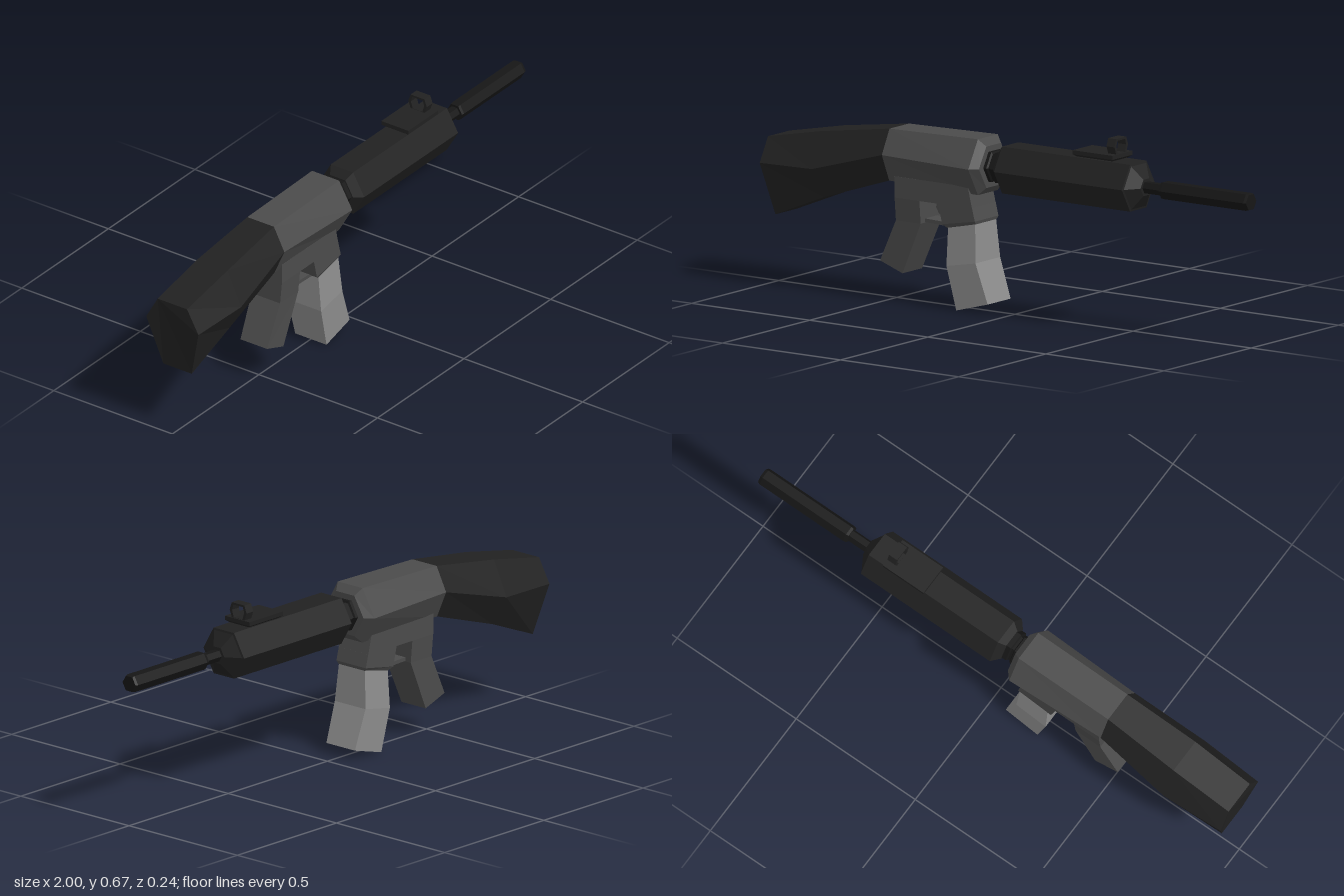
import * as THREE from 'three';

const COLORS = { metal: 0x4b4b4b, dark: 0x212121, black: 0x161616, light: 0x8c8c8c };
const materials = Object.fromEntries(Object.entries(COLORS).map(([name, color]) =>
  [name, new THREE.MeshStandardMaterial({ color, flatShading: true })]));

// Skin a list of rings (each a loop of [x, y, z]) and close both ends.
function loft(rings) {
  const n = rings[0].length;
  const index = [];
  for (let i = 0; i < rings.length - 1; i++) {
    for (let j = 0; j < n; j++) {
      const a = i * n + j, b = i * n + (j + 1) % n;
      index.push(a, b, b + n, a, b + n, a + n);
    }
  }
  const last = (rings.length - 1) * n;
  for (let j = 1; j < n - 1; j++) {
    index.push(0, j + 1, j);
    index.push(last, last + j, last + j + 1);
  }
  const indexed = new THREE.BufferGeometry();
  indexed.setAttribute('position', new THREE.Float32BufferAttribute(rings.flat(2), 3));
  indexed.setIndex(index);
  const geometry = indexed.toNonIndexed();
  geometry.computeVertexNormals();
  return geometry;
}

// Six-sided ring across x: flat top and bottom, widest at the middle.
// The x of top, middle and bottom may differ so an end can slant.
function hexRing([xTop, yTop, wTop], [xMid, yMid, wMid], [xLow, yLow, wLow]) {
  return [
    [xTop, yTop, -wTop], [xTop, yTop, wTop], [xMid, yMid, wMid],
    [xLow, yLow, wLow], [xLow, yLow, -wLow], [xMid, yMid, -wMid],
  ];
}

const AXIS = 0.51; // height of the bore

// Regular hexagonal body along x from [x, radius] pairs.
function hexBody(profile) {
  return loft(profile.map(([x, r]) => hexRing(
    [x, AXIS + r * 0.866, r / 2], [x, AXIS, r], [x, AXIS - r * 0.866, r / 2])));
}

// Four-sided body, listed bottom to top: [rear x, rear y, front x, front y, half width].
function block(sections) {
  return loft(sections.map(([xr, yr, xf, yf, w]) =>
    [[xr, yr, w], [xf, yf, w], [xf, yf, -w], [xr, yr, -w]]));
}

export function createModel() {
  const model = new THREE.Group();
  model.name = 'rifle';
  const add = (name, geometry, material) => {
    const mesh = new THREE.Mesh(geometry, materials[material]);
    mesh.name = name;
    model.add(mesh);
    return mesh;
  };

  // Shoulder stock, drooping toward a slanted butt
  add('stock', loft([
    hexRing([-1, 0.515, 0.062], [-1, 0.43, 0.11], [-0.97, 0.247, 0.06]),
    hexRing([-0.77, 0.56, 0.064], [-0.77, 0.437, 0.122], [-0.76, 0.332, 0.066]),
    hexRing([-0.49, 0.6, 0.056], [-0.49, 0.515, 0.1], [-0.49, 0.42, 0.058]),
  ]), 'dark');

  // Upper receiver with a chamfered front
  add('upperReceiver', loft([
    hexRing([-0.49, 0.6, 0.056], [-0.49, 0.515, 0.1], [-0.49, 0.42, 0.058]),
    hexRing([-0.115, 0.607, 0.057], [-0.115, 0.51, 0.1125], [-0.115, 0.413, 0.057]),
    hexRing([-0.09, 0.582, 0.042], [-0.09, 0.51, 0.085], [-0.09, 0.438, 0.042]),
  ]), 'metal');

  // Lower receiver and magazine well
  add('lowerReceiver', block([
    [-0.46, 0.366, -0.132, 0.366, 0.068],
    [-0.46, 0.44, -0.15, 0.44, 0.068],
  ]), 'metal');
  add('magazineWell', block([
    [-0.242, 0.285, -0.122, 0.311, 0.06],
    [-0.258, 0.297, -0.12, 0.322, 0.068],
    [-0.276, 0.368, -0.132, 0.368, 0.068],
  ]), 'metal');

  // Pistol grip
  add('grip', block([
    [-0.53, 0.138, -0.435, 0.104, 0.056],
    [-0.46, 0.286, -0.355, 0.286, 0.06],
    [-0.46, 0.37, -0.355, 0.37, 0.068],
  ]), 'metal');

  // Trigger guard and trigger
  add('triggerGuard', block([
    [-0.365, 0.288, -0.24, 0.284, 0.035],
    [-0.365, 0.301, -0.24, 0.297, 0.035],
  ]), 'metal');
  add('trigger', block([
    [-0.314, 0.318, -0.302, 0.316, 0.01],
    [-0.326, 0.34, -0.314, 0.34, 0.011],
    [-0.318, 0.37, -0.3, 0.37, 0.012],
  ]), 'metal');

  // Bent magazine
  add('magazine', block([
    [-0.2, 0.004, -0.067, 0.04, 0.066],
    [-0.238, 0.155, -0.115, 0.178, 0.071],
    [-0.239, 0.3, -0.125, 0.325, 0.059],
  ]), 'light');

  // Ribbed barrel nut between receiver and handguard
  add('barrelNut', hexBody([
    [-0.1, 0.06], [-0.078, 0.06], [-0.074, 0.053], [-0.066, 0.053],
    [-0.062, 0.06], [-0.045, 0.06], [-0.03, 0.06],
  ]), 'black');

  // Handguard, tapering steeply to the barrel
  add('handguard', hexBody([
    [-0.045, 0.065], [-0.02, 0.094], [0.522, 0.094], [0.524, 0.086], [0.556, 0.033],
  ]), 'dark');

  // Barrel and muzzle tube
  add('barrel', hexBody([[0.54, 0.022], [0.65, 0.022]]), 'black');
  add('muzzle', hexBody([[0.63, 0.031], [0.64, 0.033], [0.99, 0.033], [1, 0.03]]), 'black');

  // Sight rail on a small riser
  add('railRiser', new THREE.BoxGeometry(0.12, 0.03, 0.07), 'dark').position.set(0.38, 0.587, 0);
  add('sightRail', block([
    [0.295, 0.594, 0.445, 0.594, 0.046],
    [0.285, 0.602, 0.455, 0.602, 0.057],
    [0.285, 0.616, 0.455, 0.616, 0.057],
  ]), 'dark');

  // Hexagonal ring sight standing across the rail
  const outline = [[0.028, 0.613], [0.039, 0.642], [0.029, 0.669]];
  const opening = [[0.02, 0.617], [0.028, 0.642], [0.022, 0.662]];
  const symmetric = (half) => [...half, ...half.map(([z, y]) => [-z, y]).reverse()]
    .map(([z, y]) => new THREE.Vector2(z, y));
  const ring = new THREE.Shape(symmetric(outline));
  ring.holes.push(new THREE.Path(symmetric(opening)));
  const sight = new THREE.ExtrudeGeometry(ring, { depth: 0.034, bevelEnabled: false });
  sight.rotateY(Math.PI / 2);
  add('ringSight', sight, 'dark').position.x = 0.416;

  return model;
}
